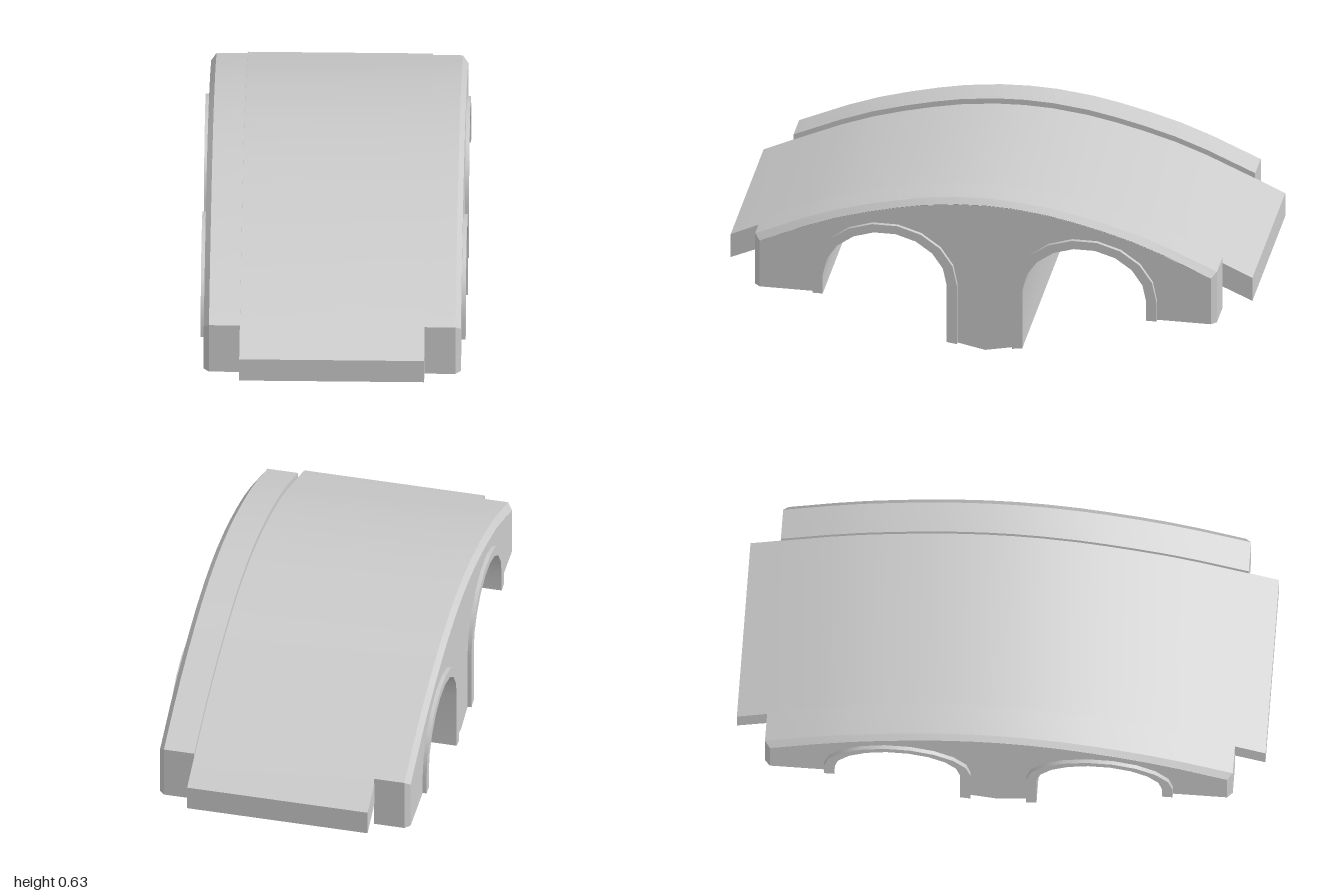
import * as THREE from 'three';
import { toCreasedNormals } from 'three/addons/utils/BufferGeometryUtils.js';

const mat = new THREE.MeshStandardMaterial({ color: 0xcccccc, side: THREE.DoubleSide });

// Half of the parapet crest as [z, y], and the mirrored full crest
const half = [[0.885, 0.405], [0.7, 0.487], [0.58, 0.532], [0.46, 0.567], [0.35, 0.594], [0.245, 0.615], [0.11, 0.631], [0, 0.635]];
const mirror = (pts) => [...pts, ...pts.slice(0, -1).reverse().map(([z, y]) => [-z, y])];
const crest = mirror(half);

const END = 0.885, FOOT = 0.19, ARCH_Z = 0.3825, SPRING = 0.27;

// Half-ellipse of an arch, from its +z springing to its -z springing
function archCurve(cz, a, b, n = 9) {
  const pts = [];
  for (let i = 0; i <= n; i++) {
    const t = (Math.PI * i) / n;
    pts.push([cz + a * Math.cos(t), SPRING + b * Math.sin(t)]);
  }
  return pts;
}

// Extrude a [z, y] outline along x, centred on cx
function extrudeX(name, pts, width, cx = 0) {
  const shape = new THREE.Shape(pts.map(([z, y]) => new THREE.Vector2(z, y)));
  const geo = new THREE.ExtrudeGeometry(shape, { depth: width, bevelEnabled: false });
  geo.rotateY(-Math.PI / 2);
  geo.translate(cx + width / 2, 0, 0);
  const mesh = new THREE.Mesh(toCreasedNormals(geo, 0.5), mat);
  mesh.name = name;
  return mesh;
}

// Curved road slab, thick at its projecting ends
function roadDeck() {
  const top = mirror([[1, 0.33], ...half.map(([z, y]) => [z, y - 0.022])]);
  const under = mirror([[1, 0.232], [0.885, 0.283], [0.8, 0.32], [0.72, 0.415],
    ...half.slice(2).map(([z, y]) => [z, y - 0.062])]);
  return extrudeX('roadDeck', [...top, ...under.reverse()], 0.698);
}

// Vault shell running right through the bridge and standing proud of both walls
function vault(side) {
  const outer = archCurve(ARCH_Z, 0.277, 0.237);
  const inner = archCurve(ARCH_Z, 0.2375, 0.202);
  const pts = [[0.6595, FOOT], ...outer, [0.1055, 0.022], [0.145, 0.028], ...inner.reverse(), [0.62, FOOT]];
  const mesh = extrudeX('archVault', pts, 1);
  if (side < 0) mesh.rotation.y = Math.PI;
  return mesh;
}

// Thin side wall cut out around the arches, with a shallow pointed pier foot
function sideWall() {
  const top = crest.map(([z, y]) => [z * (0.865 / END), y - 0.022]);
  const arch = (s) => archCurve(s * ARCH_Z, 0.265, 0.225);
  const pts = [
    [0.865, FOOT], ...top, [-0.865, FOOT],
    [-0.6475, FOOT], ...arch(-1).reverse(), [-0.1175, 0.024],
    [0, 0], [0.1175, 0.024], ...arch(1).reverse(), [0.6475, FOOT],
  ];
  return extrudeX('sideWall', pts, 0.01, 0.48);
}

// Parapet band swept over the crest and down both ends, chamfered outside
function parapet() {
  const section = [[0.348, 0.04], [0.348, 0], [0.465, 0], [0.485, 0.02], [0.475, 0.04]];
  const path = [[END, FOOT], ...crest, [-END, FOOT]];
  const m = section.length;
  const pos = [], index = [];
  path.forEach(([z, y], i) => {
    const drop = i > 0 && i < path.length - 1;
    section.forEach(([x, d]) => pos.push(x, drop ? y - d : y, z * (1 - d / END)));
    if (i === 0) return;
    for (let j = 0; j < m; j++) {
      const a = (i - 1) * m + j, b = (i - 1) * m + ((j + 1) % m);
      index.push(a, b, b + m, a, b + m, a + m);
    }
  });
  // Feet of the two ends
  const last = (path.length - 1) * m;
  for (let j = 1; j < m - 1; j++) index.push(0, j + 1, j, last, last + j, last + j + 1);
  const geo = new THREE.BufferGeometry();
  geo.setAttribute('position', new THREE.Float32BufferAttribute(pos, 3));
  // Wind the faces outward
  for (let k = 0; k < index.length; k += 3) [index[k + 1], index[k + 2]] = [index[k + 2], index[k + 1]];
  geo.setIndex(index);
  if (!facesUp(geo)) {
    for (let k = 0; k < index.length; k += 3) [index[k + 1], index[k + 2]] = [index[k + 2], index[k + 1]];
    geo.setIndex(index);
  }
  const mesh = new THREE.Mesh(toCreasedNormals(geo, 0.5), mat);
  mesh.name = 'parapet';
  return mesh;
}

// True when the closed mesh encloses a positive volume
function facesUp(geo) {
  const p = geo.attributes.position, ix = geo.index.array;
  const [a, b, c] = [0, 0, 0].map(() => new THREE.Vector3());
  let volume = 0;
  for (let k = 0; k < ix.length; k += 3) {
    a.fromBufferAttribute(p, ix[k]);
    b.fromBufferAttribute(p, ix[k + 1]);
    c.fromBufferAttribute(p, ix[k + 2]);
    volume += a.dot(b.cross(c));
  }
  return volume > 0;
}

export function createModel() {
  const bridge = new THREE.Group();
  bridge.name = 'archBridge';
  bridge.add(roadDeck(), vault(1), vault(-1));

  // The same flank, turned half round for the other side
  for (const s of [1, -1]) {
    const flank = new THREE.Group();
    flank.name = s > 0 ? 'leftFlank' : 'rightFlank';
    flank.add(sideWall(), parapet());
    if (s < 0) flank.rotation.y = Math.PI;
    bridge.add(flank);
  }
  return bridge;
}
